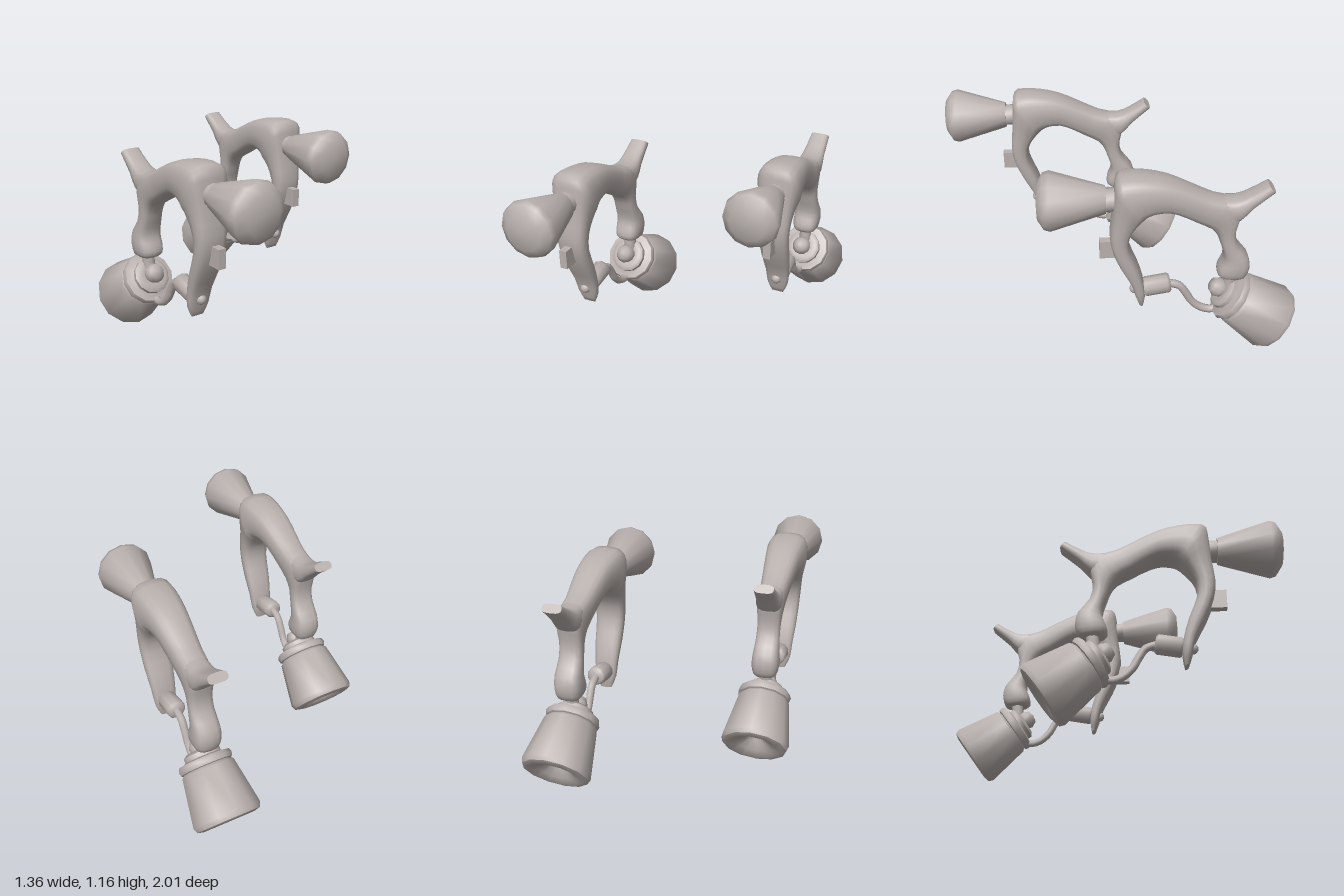
import * as THREE from 'three';
import { toCreasedNormals } from 'three/addons/utils/BufferGeometryUtils.js';

const V = (x, y, z) => new THREE.Vector3(x, y, z);
const signedPow = (v, p) => Math.sign(v) * Math.abs(v) ** p;

// Closed loft; each section is [outerZ, outerY, innerZ, innerY, halfWidth]
function loft(sections, sides = 16, perSection = 2) {
  const outer = new THREE.CatmullRomCurve3(sections.map(s => V(s[4], s[1], s[0])), false, 'catmullrom');
  const inner = new THREE.CatmullRomCurve3(sections.map(s => V(s[4], s[3], s[2])), false, 'catmullrom');
  const n = (sections.length - 1) * perSection;
  const pos = [], idx = [], centres = [];
  for (let j = 0; j <= n; j++) {
    const o = outer.getPoint(j / n), i = inner.getPoint(j / n);
    const cy = (o.y + i.y) / 2, cz = (o.z + i.z) / 2;
    centres.push([0, cy, cz]);
    for (let k = 0; k < sides; k++) {
      const a = k / sides * Math.PI * 2;
      const u = signedPow(Math.cos(a), 0.65), v = signedPow(Math.sin(a), 0.65);
      pos.push(v * o.x, cy + u * (o.y - i.y) / 2, cz + u * (o.z - i.z) / 2);
    }
  }
  const first = pos.length / 3, last = first + 1;
  pos.push(...centres[0], ...centres[n]);
  for (let k = 0; k < sides; k++) {
    const k2 = (k + 1) % sides;
    for (let j = 0; j < n; j++) {
      const a = j * sides + k, b = j * sides + k2;
      idx.push(a, b, a + sides, b, b + sides, a + sides);
    }
    idx.push(first, k2, k, last, n * sides + k, n * sides + k2);
  }
  const g = new THREE.BufferGeometry();
  g.setAttribute('position', new THREE.Float32BufferAttribute(pos, 3));
  g.setIndex(idx);
  return toCreasedNormals(g, 1.0);
}

const lathe = (pts, sides) =>
  toCreasedNormals(new THREE.LatheGeometry(pts.map(p => new THREE.Vector2(...p)), sides), 0.9);

// Turn a geometry's y axis along dir and move its origin to at
function aim(geo, at, dir) {
  const q = new THREE.Quaternion().setFromUnitVectors(V(0, 1, 0), dir.clone().normalize());
  return geo.applyQuaternion(q).translate(at.x, at.y, at.z);
}

function rod(a, b, r, sides = 10) {
  const d = b.clone().sub(a);
  return aim(new THREE.CylinderGeometry(r, r, d.length(), sides), a.clone().lerp(b, 0.5), d);
}

export function createModel() {
  const grey = new THREE.MeshStandardMaterial({ color: 0xb8b0ad });
  grey.name = 'warm grey';

  const parts = {
    // Front guard, top arch and rear grip in one sweep
    frameAndGrip: loft([
      [-0.115, 0.31, -0.137, 0.30, 0.035],
      [-0.094, 0.373, -0.147, 0.373, 0.062],
      [-0.067, 0.464, -0.137, 0.47, 0.07],
      [-0.008, 0.58, -0.105, 0.58, 0.08],
      [0.035, 0.693, -0.056, 0.71, 0.085],
      [0.05, 0.80, -0.062, 0.805, 0.09],
      [0.035, 0.933, -0.10, 0.87, 0.10],
      [0.024, 1.093, -0.131, 0.907, 0.12],
      [-0.003, 1.157, -0.147, 0.923, 0.12],
      [-0.137, 1.157, -0.185, 0.944, 0.112],
      [-0.26, 1.13, -0.26, 0.949, 0.10],
      [-0.378, 1.077, -0.335, 0.917, 0.09],
      [-0.50, 1.02, -0.405, 0.875, 0.08],
      [-0.61, 0.99, -0.49, 0.827, 0.076],
      [-0.645, 0.917, -0.528, 0.773, 0.07],
      [-0.625, 0.816, -0.544, 0.73, 0.066],
      [-0.64, 0.72, -0.566, 0.667, 0.068],
      [-0.705, 0.635, -0.571, 0.613, 0.074],
      [-0.721, 0.56, -0.55, 0.56, 0.078],
      [-0.705, 0.50, -0.544, 0.517, 0.07],
      [-0.685, 0.49, -0.565, 0.495, 0.055],
    ]),
    // Hook at the back of the arch
    rearHorn: loft([
      [-0.47, 1.02, -0.53, 0.82, 0.07],
      [-0.61, 1.003, -0.64, 0.88, 0.072],
      [-0.69, 1.035, -0.70, 0.95, 0.062],
      [-0.775, 1.088, -0.812, 1.05, 0.055],
    ]),
    // Flared nozzle with its neck
    nozzle: aim(lathe([
      [0, -0.02], [0.062, -0.02], [0.062, 0.07], [0.075, 0.07], [0.16, 0.36],
      [0.15, 0.393], [0.10, 0.425], [0, 0.432],
    ], 12), V(0, 1.01, 0), V(0, 0, 1)),
    // Cup with stepped collar, knob and dished base
    cup: aim(lathe([
      [0, -0.17], [0.04, -0.16], [0.058, -0.125], [0.05, -0.095], [0.085, -0.1],
      [0.105, -0.085], [0.105, -0.06], [0.12, -0.055], [0.148, -0.05], [0.157, -0.03],
      [0.15, -0.008], [0.138, -0.004], [0.153, 0.01], [0.196, 0.27], [0.185, 0.298],
      [0.15, 0.307], [0.1, 0.285], [0.05, 0.25], [0.02, 0.21], [0, 0.2],
    ], 12), V(0, 0.33, -0.657), V(0, -0.585, -0.81)),
    gripPin: rod(V(0, 0.52, -0.628), V(0, 0.37, -0.615), 0.036),
    frontButton: new THREE.BoxGeometry(0.044, 0.108, 0.1).translate(0, 0.697, 0.055),
    valveBall: new THREE.SphereGeometry(0.03, 12, 8).translate(0, 0.41, -0.09),
    valveStem: rod(V(0, 0.41, -0.09), V(0, 0.42, -0.16), 0.028),
    valveBody: aim(lathe([
      [0, 0], [0.05, 0], [0.056, 0.012], [0.056, 0.135], [0.046, 0.148], [0, 0.152],
    ], 10), V(0, 0.418, -0.142), V(0, 0.028, -0.15)),
    // Bent pipe from valve to collar
    feedPipe: new THREE.TubeGeometry(new THREE.CatmullRomCurve3([
      V(0, 0.443, -0.27), V(0, 0.42, -0.34), V(0, 0.368, -0.378), V(0, 0.304, -0.415),
      V(0, 0.256, -0.469), V(0, 0.24, -0.533), V(0, 0.275, -0.60),
    ]), 24, 0.023, 8),
  };

  // Two identical staggered copies
  const model = new THREE.Group();
  model.name = 'sprayers';
  for (const [name, x, z] of [['leftSprayer', 0.484, 0], ['rightSprayer', -0.484, 0.573]]) {
    const sprayer = new THREE.Group();
    sprayer.name = name;
    sprayer.position.set(x, 0, z);
    for (const [part, geo] of Object.entries(parts)) {
      const mesh = new THREE.Mesh(geo, grey);
      mesh.name = part;
      sprayer.add(mesh);
    }
    model.add(sprayer);
  }
  return model;
}
